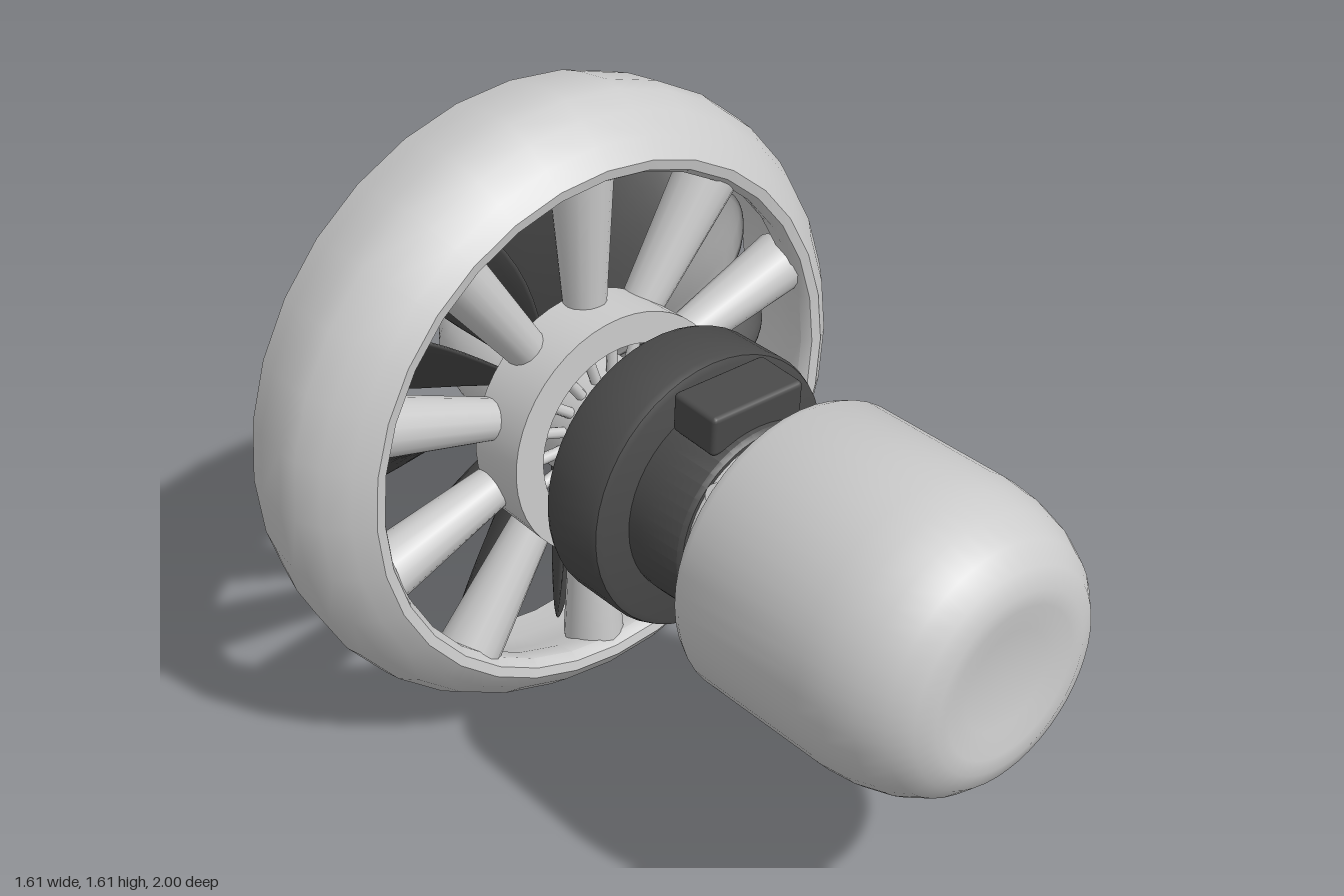
import * as THREE from 'three';
import { toCreasedNormals } from 'three/addons/utils/BufferGeometryUtils.js';
import { RoundedBoxGeometry } from 'three/addons/geometries/RoundedBoxGeometry.js';
import { ParametricGeometry } from 'three/addons/geometries/ParametricGeometry.js';

const grey = new THREE.MeshStandardMaterial({ color: 0xcccccc });
const dark = new THREE.MeshStandardMaterial({ color: 0x4a4a4a });
const brass = new THREE.MeshStandardMaterial({ color: 0xd9a84e });

function part(name, geometry, material, parent) {
  const mesh = new THREE.Mesh(geometry, material);
  mesh.name = name;
  parent.add(mesh);
  return mesh;
}

// Turned part around the z axis from [radius, z] pairs
function turned(profile, segments = 48, crease = 0.7) {
  const points = profile.map(([r, z]) => new THREE.Vector2(r, z));
  return toCreasedNormals(new THREE.LatheGeometry(points, segments).rotateX(Math.PI / 2), crease);
}

// Repeat one geometry around the z axis, first copy at the top
function radial(name, geometry, count, material, parent) {
  const group = new THREE.Group();
  group.name = name + 's';
  for (let i = 0; i < count; i++) {
    part(name, geometry, material, group).rotation.z = (i * 2 * Math.PI) / count;
  }
  parent.add(group);
}

// Twisted, cambered fan blade growing along +y
function bladeGeometry() {
  return new ParametricGeometry((u, t, target) => {
    const v = Math.sin((t * Math.PI) / 2);
    const angle = u * 2 * Math.PI;
    const half = (0.04 + 0.1 * Math.sin(Math.PI * 0.72 * v)) * Math.sqrt(Math.max(0, 1 - v ** 5));
    const twist = THREE.MathUtils.degToRad(62 - 24 * v);
    const x = half * Math.sin(angle);
    const z = half * 0.12 * Math.cos(angle) + 1.2 * x * x;
    target.set(
      x * Math.cos(twist) - z * Math.sin(twist),
      0.1 + 0.58 * v,
      -0.54 + x * Math.sin(twist) + z * Math.cos(twist)
    );
  }, 16, 14);
}

export function createModel() {
  const model = new THREE.Group();
  model.name = 'ductedFan';
  const core = new THREE.Group();
  core.name = 'engine';
  core.position.y = 0.805;
  model.add(core);

  // Duct ring with a rounded front lip
  part('ductRing', turned([
    [0.735, -0.655], [0.775, -0.66], [0.79, -0.6], [0.803, -0.5], [0.795, -0.45],
    [0.765, -0.39], [0.72, -0.335], [0.675, -0.3], [0.65, -0.305], [0.636, -0.33],
    [0.645, -0.38], [0.685, -0.46], [0.715, -0.55], [0.735, -0.655],
  ], 32), grey, core);

  // Front cowl with a dished nose and a recessed rear
  part('cowl', turned([
    [0.2, 0.45], [0.285, 0.45], [0.295, 0.38], [0.308, 0.355], [0.33, 0.342],
    [0.35, 0.347], [0.36, 0.37], [0.36, 0.74], [0.352, 0.81], [0.332, 0.88],
    [0.3, 0.94], [0.26, 0.98], [0.215, 0.998], [0.18, 0.998], [0.12, 0.985], [0, 0.98],
  ]), grey, core);

  // Neck with a row of bolts
  part('neck', turned([[0, 0.2], [0.23, 0.2], [0.23, 0.46], [0, 0.46]]), grey, core);
  const bolt = new THREE.CylinderGeometry(0.025, 0.025, 0.04, 12).translate(0, 0.23, 0.275);
  radial('neckBolt', bolt, 8, grey, core);

  // Bent pipe between the collar and the cowl
  const pipePath = new THREE.CatmullRomCurve3([
    [0.14, -0.17, 0.18], [0.15, -0.18, 0.25], [0.175, -0.2, 0.31], [0.2, -0.24, 0.36], [0.2, -0.25, 0.45],
  ].map((p) => new THREE.Vector3(...p)));
  part('pipe', new THREE.TubeGeometry(pipePath, 20, 0.05, 14), brass, core);

  // Dark gearbox collar with its boxes
  part('collar', turned([
    [0, 0.05], [0.25, 0.05], [0.252, 0.1], [0.247, 0.23], [0.238, 0.24], [0, 0.24],
  ]), dark, core);
  const topBox = part('topBox', new RoundedBoxGeometry(0.26, 0.1, 0.14, 2, 0.012), dark, core);
  topBox.position.set(0, 0.27, 0.148);
  topBox.rotation.x = 0.06;
  const sideBox = part('sideBox', new RoundedBoxGeometry(0.09, 0.11, 0.14, 2, 0.012), dark, core);
  sideBox.position.set(0.255, 0.05, 0.145);
  sideBox.rotation.y = 0.08;

  // Heavy dark ring
  part('gearRing', turned([
    [0, -0.118], [0.325, -0.118], [0.34, -0.112], [0.346, -0.097],
    [0.346, 0.048], [0.34, 0.063], [0.325, 0.069], [0, 0.069],
  ]), dark, core);

  // Shaft with its flange
  part('shaft', turned([[0, -0.48], [0.158, -0.48], [0.158, -0.1], [0, -0.1]]), grey, core);
  part('shaftFlange', turned([[0, -0.135], [0.168, -0.135], [0.168, -0.1], [0, -0.1]]), grey, core);

  // Stator hub carried on short spokes
  part('statorHub', turned([
    [0.235, -0.43], [0.31, -0.43], [0.314, -0.266], [0.235, -0.266], [0.235, -0.43],
  ]), grey, core);
  const spoke = new THREE.CylinderGeometry(0.014, 0.014, 0.1, 8).translate(0, 0.195, -0.3);
  radial('hubSpoke', spoke, 20, grey, core);

  // Tapered struts holding the duct
  const strut = new THREE.CylinderGeometry(0.075, 0.05, 0.37, 16)
    .scale(1, 1, 1.1).translate(0, 0.475, -0.4);
  radial('strut', strut, 10, grey, core);

  // Fan blades and pointed spinner
  radial('fanBlade', bladeGeometry(), 12, dark, core);
  part('spinner', turned([
    [0, -1], [0.015, -0.993], [0.045, -0.96], [0.085, -0.9], [0.113, -0.84],
    [0.135, -0.77], [0.15, -0.69], [0.158, -0.6], [0.158, -0.46], [0, -0.46],
  ]), grey, core);

  return model;
}
